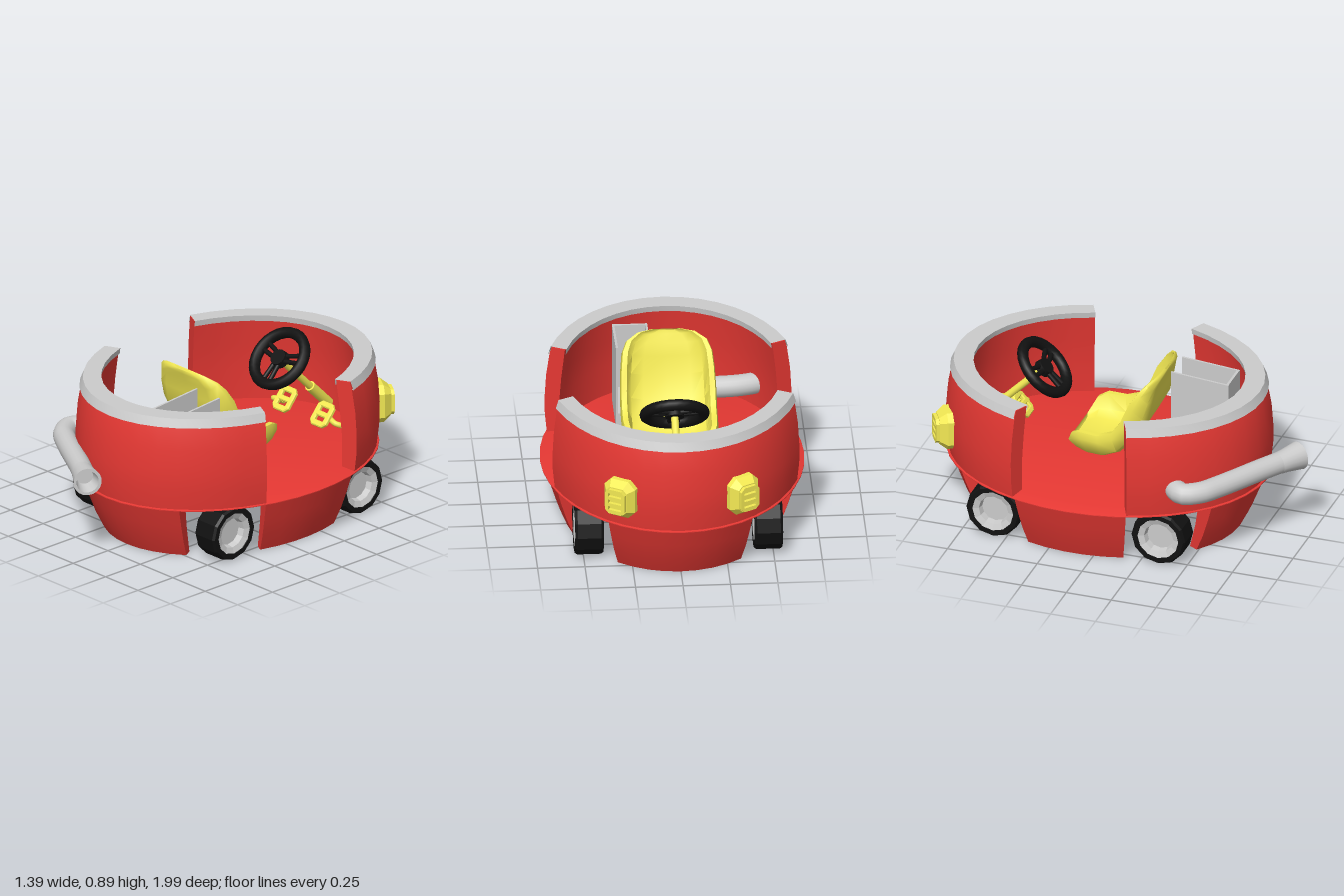
import * as THREE from 'three';
import { mergeGeometries, toCreasedNormals } from 'three/addons/utils/BufferGeometryUtils.js';

const mat = (color, flatShading = false) =>
  new THREE.MeshStandardMaterial({ color, flatShading, side: THREE.DoubleSide });
const RED = mat(0xe63833), YELLOW = mat(0xf4ea54), BLACK = mat(0x111111), GREY = mat(0xcccccc);
const BLACK_FLAT = mat(0x111111, true), GREY_FLAT = mat(0xcccccc, true);
const CZ = -0.11, SQUASH = 0.794; // centre and width ratio of the oval body
const V2 = (a) => a.map(([x, y]) => new THREE.Vector2(x, y));
const V3 = (a) => a.map(([x, y, z]) => new THREE.Vector3(x, y, z));
const rad = THREE.MathUtils.degToRad;

function add(parent, name, geometry, material, x = 0, y = 0, z = 0) {
  const m = new THREE.Mesh(geometry, material);
  m.name = name;
  m.position.set(x, y, z);
  parent.add(m);
  return m;
}

// Sweep a (radius, y) profile round part of the oval; closed profiles get end caps
function ovalArc(profile, fromDeg, toDeg, closed = true) {
  const a = rad(fromDeg), b = rad(toDeg), pts = V2(profile);
  const segs = Math.max(4, Math.round((toDeg - fromDeg) / 8.5));
  const parts = [new THREE.LatheGeometry(closed ? [...pts, pts[0].clone()] : pts, segs, a, b - a)];
  if (closed) for (const t of [a, b])
    parts.push(new THREE.ShapeGeometry(new THREE.Shape(pts)).rotateY(t - Math.PI / 2));
  return mergeGeometries(parts.map((g) => toCreasedNormals(g, 0.5))).scale(SQUASH, 1, 1);
}

function rod(parent, name, from, to, r, material) {
  const [a, b] = V3([from, to]);
  const m = add(parent, name, new THREE.CylinderGeometry(r, r, a.distanceTo(b), 12), material);
  m.position.copy(a).lerp(b, 0.5);
  m.quaternion.setFromUnitVectors(new THREE.Vector3(0, 1, 0), b.sub(a).normalize());
  return m;
}

function slot(y, w, h) {
  return new THREE.Path(V2([[-w / 2, y - h / 2], [w / 2, y - h / 2], [w / 2, y + h / 2], [-w / 2, y + h / 2]]));
}

function octagon(w, h, c) {
  return new THREE.Shape(V2([[-w + c, -h], [w - c, -h], [w, -h + c], [w, h - c], [w - c, h], [-w + c, h], [-w, h - c], [-w, -h + c]]));
}

function buildBody(g) {
  const body = new THREE.Group();
  body.name = 'body';
  body.position.z = CZ;
  g.add(body);
  const floor = new THREE.LatheGeometry(V2([[0, 0.3], [0.85, 0.3], [0.877, 0.308], [0.877, 0.312], [0.86, 0.316], [0.78, 0.333], [0, 0.333]]), 40);
  add(body, 'floor', toCreasedNormals(floor, 0.5).scale(SQUASH, 1, 1), RED);
  const wall = [[0.78, 0.315], [0.865, 0.315], [0.879, 0.42], [0.88, 0.52], [0.87, 0.65], [0.846, 0.78], [0.832, 0.818], [0.74, 0.818], [0.765, 0.65], [0.78, 0.5]];
  const rim = [[0.845, 0.778], [0.857, 0.775], [0.837, 0.822], [0.73, 0.822], [0.735, 0.79]];
  const skirt = [[0.67, 0.003], [0.725, 0.003], [0.775, 0.1], [0.815, 0.2], [0.85, 0.3], [0.745, 0.3], [0.715, 0.15]];
  for (const [end, mid] of [['rear', 0], ['front', 180]]) {
    add(body, end + 'Wall', ovalArc(wall, mid - 68.5, mid + 68.5), RED);
    add(body, end + 'WallRim', ovalArc(rim, mid - 68.5, mid + 68.5, false), GREY);
    add(body, end + 'Skirt', ovalArc(skirt, mid - 34.3, mid + 34.3), RED);
  }
  for (const [side, mid] of [['left', 90], ['right', 270]])
    add(body, side + 'Skirt', ovalArc(skirt, mid - 21.4, mid + 21.4), RED);
}

function buildWheels(g) {
  const tyre = new THREE.LatheGeometry(V2([[0.105, -0.04], [0.115, -0.075], [0.141, -0.075], [0.15, -0.062],
    [0.15, 0.062], [0.141, 0.075], [0.115, 0.075], [0.105, 0.04]]), 12).rotateZ(-Math.PI / 2);
  const hub = new THREE.LatheGeometry(V2([[0, -0.025], [0.075, -0.025], [0.082, -0.06], [0.116, -0.072], [0.105, 0],
    [0.116, 0.072], [0.082, 0.06], [0.075, 0.025], [0, 0.025]]), 12).rotateZ(-Math.PI / 2);
  for (const x of [-0.472, 0.472]) for (const z of [0.35, -0.57]) {
    const w = new THREE.Group();
    w.name = 'wheel';
    w.position.set(x, 0.153, z);
    add(w, 'tyre', tyre, BLACK_FLAT);
    add(w, 'hub', hub, GREY_FLAT);
    g.add(w);
  }
}

// Bucket seat lofted through sections between its front edge and its back
function buildSeat(g) {
  const stations = [ // edge z, edge y, back z, back y, half width
    [0.215, 0.898, 0.225, 0.885, 0.075], [0.2, 0.888, 0.22, 0.862, 0.155], [0.165, 0.86, 0.2, 0.815, 0.215], [0.125, 0.815, 0.187, 0.74, 0.24],
    [0.075, 0.74, 0.165, 0.64, 0.25], [0.03, 0.63, 0.1, 0.52, 0.255], [-0.02, 0.56, 0.01, 0.42, 0.255],
    [-0.1, 0.53, -0.075, 0.383, 0.255], [-0.2, 0.535, -0.15, 0.383, 0.25], [-0.25, 0.51, -0.22, 0.405, 0.23], [-0.285, 0.44, -0.275, 0.415, 0.165]];
  const half = [[0, 0], [0.7, 0.03], [0.9, 0.2], [1, 0.75], [0.97, 1], [0.86, 1], [0.76, 0.45], [0.5, 0.28], [0, 0.22]];
  const loop = [...half, ...half.slice(1, -1).reverse().map(([x, t]) => [-x, t])];
  const n = loop.length, pos = [], idx = [];
  for (const [fz, fy, bz, by, w] of stations)
    for (const [u, t] of loop) pos.push(u * w, by + (fy - by) * t, bz + (fz - bz) * t);
  for (let s = 0; s < stations.length - 1; s++)
    for (let i = 0; i < n; i++) {
      const a = s * n + i, b = s * n + (i + 1) % n;
      idx.push(a, a + n, b, b, a + n, b + n);
    }
  // Close both ends
  for (const base of [0, (stations.length - 1) * n])
    for (let i = 0; i < n / 2 - 1; i++) {
      const a = base + i, b = base + i + 1, c = base + (n - i) % n, d = base + n - i - 1;
      idx.push(a, b, c, b, d, c);
    }
  const geo = new THREE.BufferGeometry();
  geo.setAttribute('position', new THREE.Float32BufferAttribute(pos, 3));
  geo.setIndex(idx);
  add(g, 'seat', toCreasedNormals(geo, 0.9), YELLOW, 0.01);
}

function buildSteering(g) {
  const s = new THREE.Group();
  s.name = 'steeringWheel';
  s.position.set(0.01, 0.75, -0.475);
  s.rotation.x = -Math.PI / 4;
  g.add(s);
  add(s, 'ring', new THREE.TorusGeometry(0.155, 0.03, 10, 28), BLACK);
  add(s, 'hub', new THREE.CylinderGeometry(0.045, 0.05, 0.04, 16).rotateX(Math.PI / 2), BLACK);
  // Three split spokes
  for (const deg of [15, 165, 270]) for (const side of [-1, 1]) {
    const a = rad(deg + side * 9), b = rad(deg + side * 30);
    rod(s, 'spoke', [0.15 * Math.cos(a), 0.15 * Math.sin(a), 0], [0.03 * Math.cos(b), 0.03 * Math.sin(b), 0], 0.013, BLACK);
  }
  rod(g, 'steeringColumn', [0.01, 0.74, -0.485], [0.005, 0.4, -0.825], 0.02, YELLOW);
  rod(g, 'columnSleeve', [0.007, 0.53, -0.695], [0.005, 0.395, -0.83], 0.029, YELLOW);
}

function buildPedals(g) {
  for (const side of [-1, 1]) {
    const p = new THREE.Group();
    p.name = 'pedal';
    const plate = octagon(0.055, 0.064, 0.02);
    for (const y of [-0.026, 0.026]) plate.holes.push(slot(y, 0.072, 0.034));
    const geo = new THREE.ExtrudeGeometry(plate, { depth: 0.014, bevelSize: 0.006, bevelThickness: 0.006, bevelSegments: 1 });
    add(p, 'pedalPlate', geo, YELLOW, side * 0.145, 0.42, -0.655).rotation.x = rad(-40);
    const path = new THREE.CatmullRomCurve3(V3([[0.18, 0.41, -0.665], [0.235, 0.4, -0.655], [0.257, 0.39, -0.675], [0.257, 0.35, -0.745]]
      .map(([x, y, z]) => [side * x, y, z])));
    add(p, 'pedalArm', new THREE.TubeGeometry(path, 14, 0.015, 8), YELLOW);
    p.position.x = 0.01;
    g.add(p);
  }
}

function buildHeadlights(g) {
  const grille = octagon(0.058, 0.07, 0.022);
  for (const y of [-0.038, 0, 0.038]) grille.holes.push(slot(y, 0.075, 0.02));
  for (const side of [-1, 1]) {
    const h = new THREE.Group();
    h.name = 'headlight';
    h.position.set(side * 0.315, 0.487, -0.89);
    h.rotation.y = Math.PI - side * rad(31);
    const shell = new THREE.ExtrudeGeometry(octagon(0.06, 0.076, 0.022), { depth: 0.04, bevelSize: 0.03, bevelThickness: 0.04, bevelSegments: 1 });
    add(h, 'lampHousing', shell, YELLOW, 0, 0, -0.015);
    add(h, 'lampGrille', new THREE.ExtrudeGeometry(grille, { depth: 0.02, bevelEnabled: false }), YELLOW, 0, 0, 0.064);
    g.add(h);
  }
}

function buildExhaust(g) {
  const y = 0.46;
  const path = new THREE.CatmullRomCurve3(V3([[0.16, y, 0.375], [-0.2, y, 0.375], [-0.4, y, 0.39], [-0.51, y, 0.43],
    [-0.566, y, 0.495], [-0.52, y, 0.58], [-0.43, y, 0.645], [-0.17, y, 0.8], [-0.07, y, 0.862]]));
  add(g, 'exhaustPipe', new THREE.TubeGeometry(path, 56, 0.058, 18), GREY);
  const flare = new THREE.LatheGeometry(V2([[0.058, 0], [0.062, 0.05], [0.076, 0.145], [0.06, 0.145], [0.045, 0.06], [0, 0.06]]), 18);
  const tip = add(g, 'exhaustTip', toCreasedNormals(flare, 0.5), GREY, -0.083, y, 0.856);
  tip.quaternion.setFromUnitVectors(new THREE.Vector3(0, 1, 0), new THREE.Vector3(0.85, 0, 0.53).normalize());

  // Engine box, open towards the seat and the top, with a slanted upright pipe
  const e = new THREE.Group();
  e.name = 'engineBox';
  g.add(e);
  add(e, 'base', new THREE.BoxGeometry(0.185, 0.12, 0.32), GREY, 0.183, 0.35, 0.36);
  const side = new THREE.Shape(V2([[-0.52, 0.34], [-0.2, 0.34], [-0.2, 0.8], [-0.52, 0.775]]));
  for (const x of [0.09, 0.264])
    add(e, 'sidePlate', new THREE.ExtrudeGeometry(side, { depth: 0.012, bevelEnabled: false }).rotateY(Math.PI / 2), GREY, x);
  add(e, 'rearPlate', new THREE.BoxGeometry(0.17, 0.43, 0.014), GREY, 0.183, 0.56, 0.512);
  rod(e, 'uprightPipe', [0.183, 0.4, 0.31], [0.183, 0.66, 0.41], 0.052, GREY);
}

export function createModel() {
  const g = new THREE.Group();
  g.name = 'toyCar';
  for (const build of [buildBody, buildWheels, buildSeat, buildSteering, buildPedals, buildHeadlights, buildExhaust]) build(g);
  return g;
}
